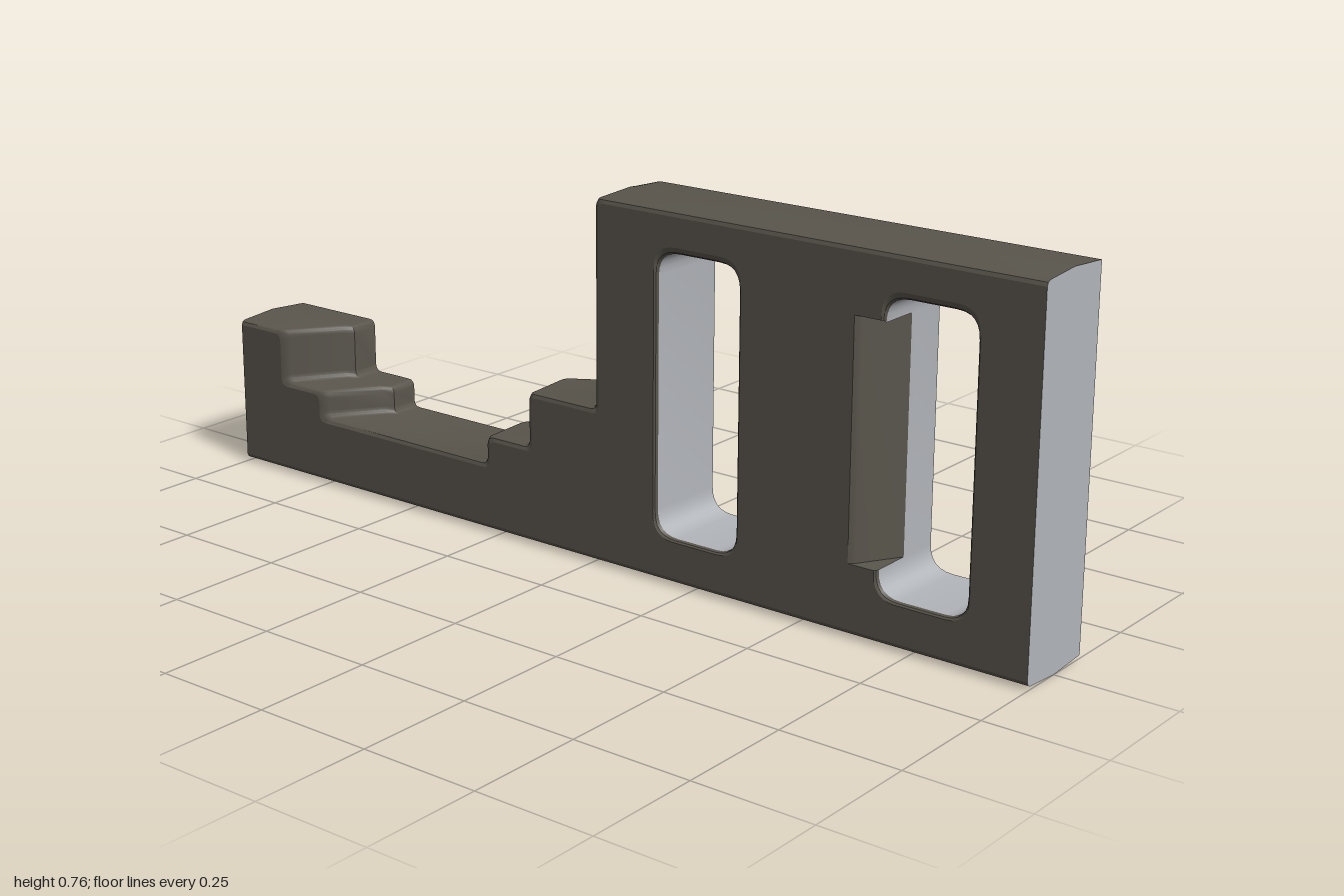
import * as THREE from 'three';
import { toCreasedNormals } from 'three/addons/utils/BufferGeometryUtils.js';

const HALF = 0.094; // half thickness
const KINK = -0.015; // depth where the step walls change direction
// depth of each cross-section and how far its edges are rounded off
const LEVELS = [[-HALF, 0], [KINK, 0], [0, 0], [0.084, 0], [0.091, 0.003], [HALF, 0.01]];

// value at the front, the kink and the back, blended along z
function along(z, front, mid, back) {
  return z > KINK
    ? mid + (front - mid) * (z - KINK) / (HALF - KINK)
    : mid + (back - mid) * (KINK - z) / (KINK + HALF);
}

// rounds every corner given as [x, y, radius]
function fillet(corners, segments = 4) {
  const points = [];
  corners.forEach(([x, y, r], i) => {
    const p = new THREE.Vector2(x, y);
    if (!r) { points.push(p); return; }
    const toward = (c) => new THREE.Vector2(c[0], c[1]).sub(p).setLength(r).add(p);
    const a = toward(corners[(i + corners.length - 1) % corners.length]);
    const b = toward(corners[(i + 1) % corners.length]);
    points.push(...new THREE.QuadraticBezierCurve(a, p, b).getPoints(segments));
  });
  return points;
}

// stepped outer outline, counter-clockwise
function outline(z, b) {
  const drop = 0.007 * Math.abs(z) / HALF + b;
  const [base, low, mid, high, top] = [drop, 0.157 - drop, 0.217 - drop, 0.333 - drop, 0.76 - drop];
  const l1 = along(z, -0.87, -0.76, -0.775) - b;
  const l2 = along(z, -0.755, -0.645, -0.66) - b;
  const r1 = along(z, -0.282, -0.275, -0.19) + b;
  const r2 = along(z, -0.167, -0.163, -0.07) + b;
  const r3 = along(z, 0.008, 0.015, 0.01) + b;
  const r = 0.016;
  return fillet([
    [-1, base, 0], [1, base, 0], [1, top, 0],
    [r3, top, r], [r3, high, r], [r2, high, r], [r2, mid, r], [r1, mid, r], [r1, low, r],
    [l2, low, r], [l2, mid, r], [l1, mid, r], [l1, high, r], [-1, high, 0],
  ]);
}

// rounded slot with a side recess, clockwise; the recess points come first
function slot(z, b, x0, x1, side, recess) {
  const e = b * 0.5;
  const left = x0 - e, right = x1 + e, bottom = 0.097 - e, top = 0.67 + b * 1.4;
  const n = side * recess * Math.max(0, -side * z / HALF);
  const [lo, hi, r] = [0.148, 0.625, 0.05];
  const ring = (corners) => fillet(corners, 6);
  return side > 0
    ? ring([[right, hi, 0], [right + n, hi, 0], [right + n, lo, 0], [right, lo, 0],
      [right, bottom, r], [left, bottom, r], [left, top, r], [right, top, r]])
    : ring([[left, lo, 0], [left + n, lo, 0], [left + n, hi, 0], [left, hi, 0],
      [left, top, r], [right, top, r], [right, bottom, r], [left, bottom, r]]);
}

function meshFrom(name, positions, material) {
  const geometry = new THREE.BufferGeometry();
  geometry.setAttribute('position', new THREE.Float32BufferAttribute(positions, 3));
  const mesh = new THREE.Mesh(toCreasedNormals(geometry, 0.6), material);
  mesh.name = name;
  return mesh;
}

// walls between successive sections; pick chooses the target list
function loft(sections, pick) {
  for (let k = 0; k < sections.length - 1; k++) {
    const [s, t] = [sections[k], sections[k + 1]];
    const [z0, z1] = [LEVELS[k][0], LEVELS[k + 1][0]];
    s.forEach((a, i) => {
      const j = (i + 1) % s.length;
      const [p, q, u, v] = [s[j], t[j], t[i], a];
      pick(i, k, a, p).push(
        v.x, v.y, z0, p.x, p.y, z0, q.x, q.y, z1,
        v.x, v.y, z0, q.x, q.y, z1, u.x, u.y, z1);
    });
  }
}

function cap(contour, holes, z, flip) {
  const points = [contour, ...holes].flat();
  const out = [];
  for (const [a, b, c] of THREE.ShapeUtils.triangulateShape(contour, holes)) {
    for (const i of flip ? [a, c, b] : [a, b, c]) out.push(points[i].x, points[i].y, z);
  }
  return out;
}

export function createModel() {
  const group = new THREE.Group();
  group.name = 'steppedPlate';
  const painted = new THREE.MeshStandardMaterial({ color: 0x5a564d });
  painted.name = 'dark brown grey';
  const bare = new THREE.MeshStandardMaterial({ color: 0xb2b5ba });
  bare.name = 'light grey';

  const outer = LEVELS.map(([z, b]) => outline(z, b));
  const slots = [[0.16, 0.355, 1, 0.067], [0.675, 0.87, -1, 0.057]].map(
    (args) => LEVELS.map(([z, b]) => slot(z, b, ...args)));

  // outer rim is painted, the two cut ends are bare
  const rim = [], ends = [];
  loft(outer, (i, k, a, p) => (Math.abs(a.x) === 1 && a.x === p.x ? ends : rim));
  group.add(meshFrom('steppedRim', rim, painted), meshFrom('cutEnds', ends, bare));

  // slot walls are bare, their front edges and the front recess are painted
  slots.forEach((sections, n) => {
    const walls = [], edges = [];
    loft(sections, (i, k) => (k >= 3 || (n === 1 && k >= 2 && i < 3) ? edges : walls));
    group.add(meshFrom(`slotWalls${n + 1}`, walls, bare), meshFrom(`slotEdges${n + 1}`, edges, painted));
  });

  // front and back faces
  const last = LEVELS.length - 1;
  group.add(
    meshFrom('frontFace', cap(outer[last], slots.map((s) => s[last]), HALF, false), painted),
    meshFrom('backFace', cap(outer[0], slots.map((s) => s[0]), -HALF, true), bare));
  return group;
}
